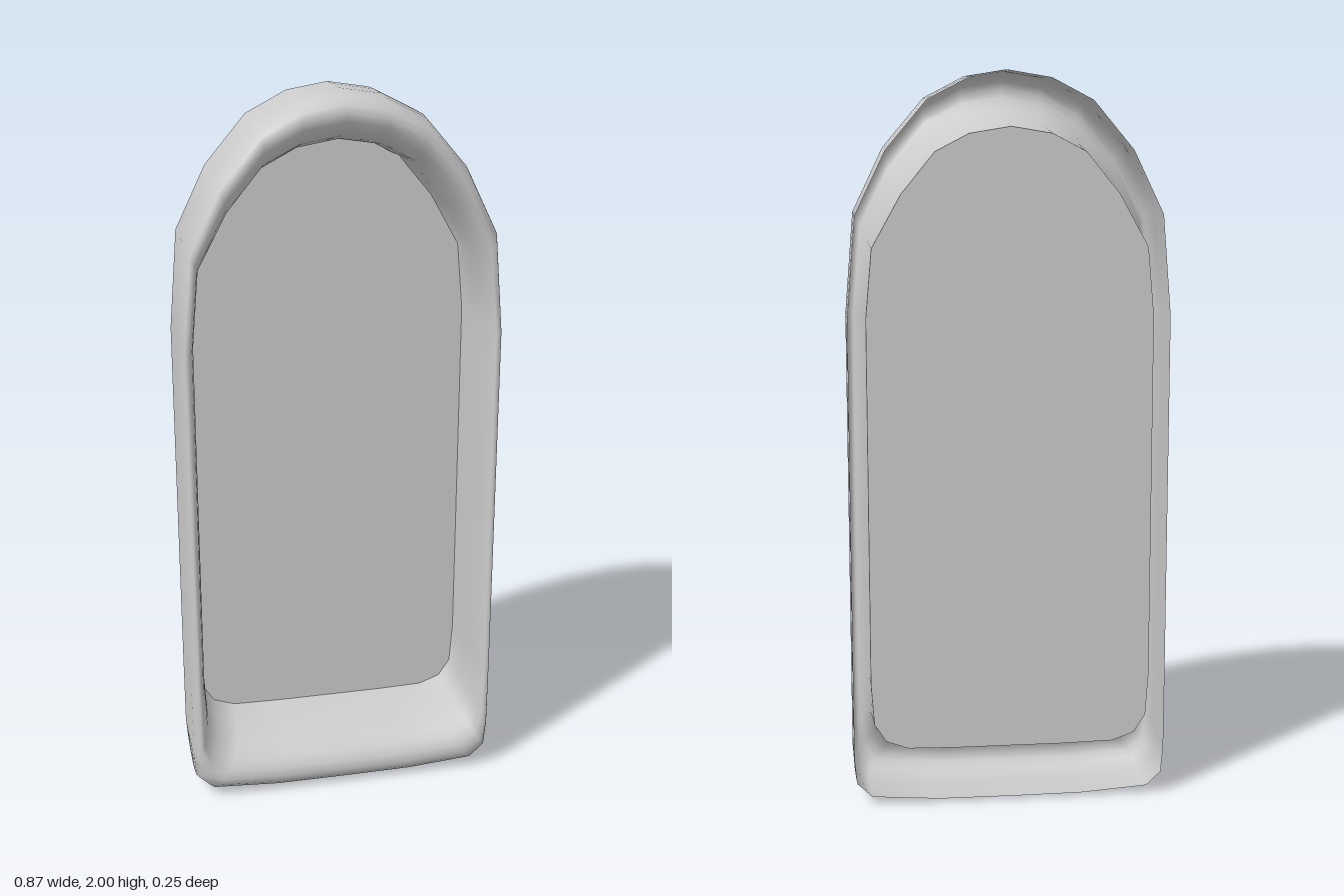
import * as THREE from 'three';

// Right halves of the outlines, from top centre to bottom centre (matching points)
const outerHalf = [[0, 2], [0.11, 1.982], [0.22, 1.925], [0.33, 1.795], [0.412, 1.625], [0.435, 1.35],
  [0.435, 0.35], [0.435, 0.13], [0.43, 0.055], [0.39, 0.015], [0.2, 0.001], [0, 0]];
const innerHalf = [[0, 1.85], [0.11, 1.832], [0.2, 1.785], [0.29, 1.675], [0.368, 1.535], [0.385, 1.35],
  [0.385, 0.35], [0.377, 0.235], [0.345, 0.185], [0.285, 0.163], [0.15, 0.16], [0, 0.16]];

// Frame section: t runs from the outer outline to the inner one, with depth z
const section = [[0.05, -0.113], [0.02, -0.05], [0, 0.03], [0.02, 0.07], [0.08, 0.097], [0.19, 0.115], [0.32, 0.1225],
  [0.47, 0.117], [0.62, 0.1], [0.75, 0.072], [0.86, 0.03], [0.94, -0.035], [1, -0.1225]];

// Mirror a half outline into a closed loop, clockwise seen from the front
const mirrorLoop = half => [...half, ...half.slice(1, -1).reverse().map(([x, y]) => [-x, y])];

function frameGeometry(outer, inner) {
  const n = outer.length, positions = [], index = [];
  for (const [t, z] of section) {
    for (let i = 0; i < n; i++) {
      positions.push(THREE.MathUtils.lerp(outer[i][0], inner[i][0], t),
        THREE.MathUtils.lerp(outer[i][1], inner[i][1], t), z);
    }
  }
  for (let s = 0; s < section.length - 1; s++) {
    for (let i = 0; i < n; i++) {
      const a = s * n + i, b = s * n + (i + 1) % n;
      index.push(a, b, a + n, b, b + n, a + n);
    }
  }
  const geometry = new THREE.BufferGeometry();
  geometry.setAttribute('position', new THREE.Float32BufferAttribute(positions, 3));
  geometry.setIndex(index);
  geometry.computeVertexNormals();
  return geometry;
}

export function createModel() {
  const group = new THREE.Group();
  const material = new THREE.MeshStandardMaterial({ color: 0xcccccc, side: THREE.DoubleSide });
  const outer = mirrorLoop(outerHalf), inner = mirrorLoop(innerHalf);

  // Rounded hollow frame, open at the back
  const frame = new THREE.Mesh(frameGeometry(outer, inner), material);
  frame.name = 'frame';

  // Flat panel closing the inner edge
  const shape = new THREE.Shape(inner.map(([x, y]) => new THREE.Vector2(x, y)));
  const panel = new THREE.Mesh(new THREE.ShapeGeometry(shape), material);
  panel.name = 'backPanel';
  panel.position.z = -0.1225;

  group.add(frame, panel);
  return group;
}
